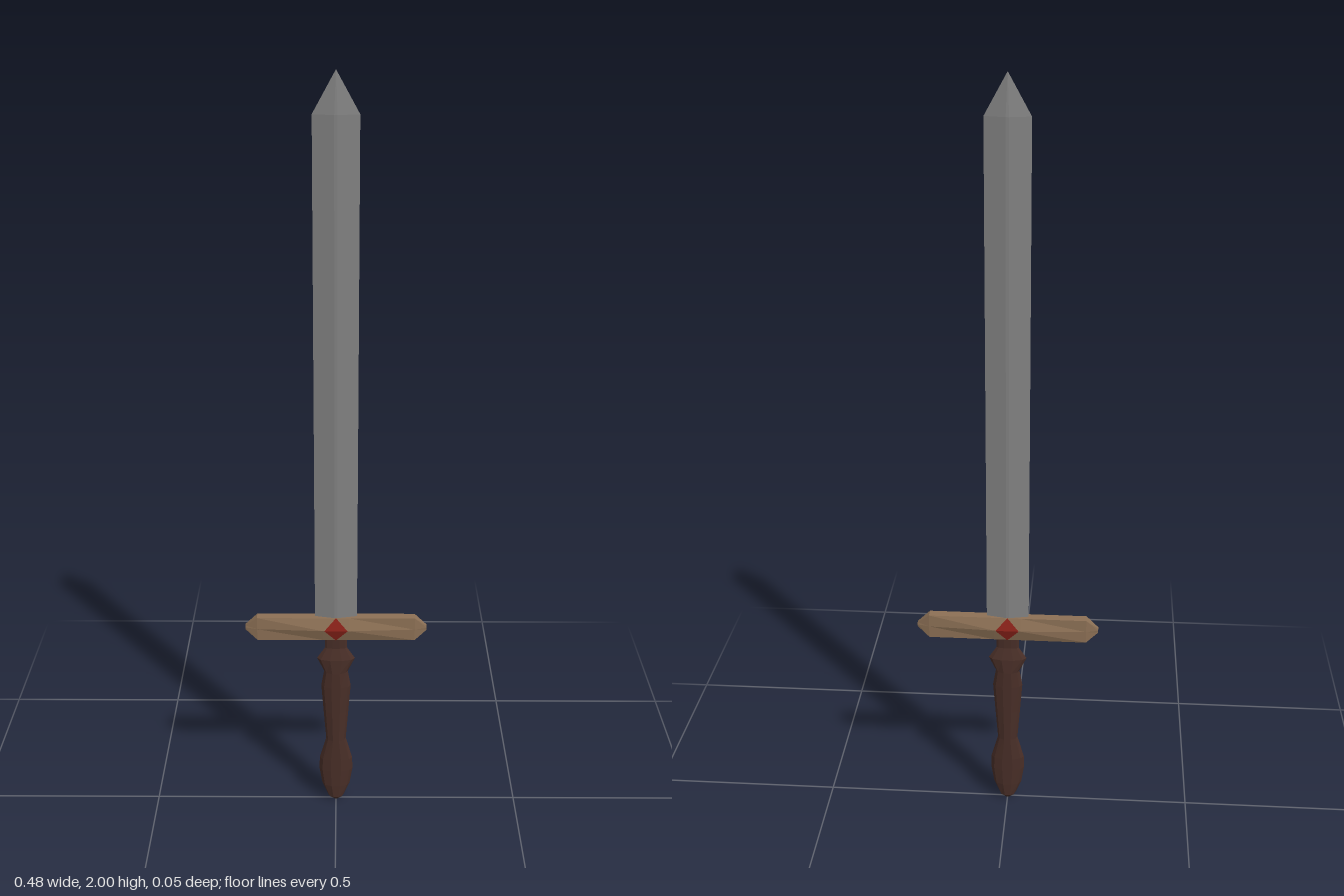
import * as THREE from 'three';

const material = (name, color, extra = {}) =>
  Object.assign(new THREE.MeshStandardMaterial({ color, flatShading: true, ...extra }), { name });

// Skins stacked rings [y, [[x, z], ...]] (anticlockwise seen from above) and caps both ends
function loft(rings) {
  const pos = [];
  const point = (r, i) => {
    const [y, pts] = rings[r];
    const [x, z] = pts[i % pts.length];
    return [x, y, z];
  };
  const n = rings[0][1].length, top = rings.length - 1;
  for (let r = 0; r < top; r++) {
    for (let i = 0; i < n; i++) {
      const a = point(r, i), b = point(r, i + 1), c = point(r + 1, i + 1), d = point(r + 1, i);
      pos.push(...a, ...b, ...c, ...a, ...c, ...d);
    }
  }
  for (let i = 1; i < n - 1; i++) {
    pos.push(...point(0, 0), ...point(0, i + 1), ...point(0, i));
    pos.push(...point(top, 0), ...point(top, i), ...point(top, i + 1));
  }
  const g = new THREE.BufferGeometry();
  g.setAttribute('position', new THREE.Float32BufferAttribute(pos, 3));
  g.computeVertexNormals();
  return g;
}

// Cross-sections
const bladeSection = (w, t, flat) => [[w, 0], [flat, -t], [-flat, -t], [-w, 0], [-flat, t], [flat, t]];
const guardSection = (h, mid, edge) => [[h, edge], [h, -edge], [0, -mid], [-h, -edge], [-h, edge], [0, mid]];
const gripSection = (w, t) => Array.from({ length: 10 }, (_, i) => {
  const a = (i / 10) * Math.PI * 2;
  return [w * Math.cos(a), -t * Math.sin(a)];
});

export function createModel() {
  const steel = material('steel', 0x828282);
  const wood = material('guardWood', 0x8c7055);
  const leather = material('darkGrip', 0x482e27);
  const red = material('redGem', 0x8a2219, { side: THREE.DoubleSide });
  const group = new THREE.Group();
  const guardY = 0.551;

  const add = (name, geometry, mat) => {
    const mesh = new THREE.Mesh(geometry, mat);
    mesh.name = name;
    group.add(mesh);
    return mesh;
  };

  // Blade: shallow ridged section closing to a point
  add('blade', loft([
    [0.56, bladeSection(0.056, 0.012, 0.004)],
    [1.9, bladeSection(0.056, 0.012, 0.004)],
    [2.0, bladeSection(0.0005, 0.0005, 0.0002)],
  ]), steel);

  // Crossguard: hexagonal bar, thickest in the middle, with tapered ends
  const guard = loft([
    [-0.242, guardSection(0.006, 0.005, 0.004)],
    [-0.21, guardSection(0.033, 0.014, 0.013)],
    [-0.035, guardSection(0.033, 0.024, 0.013)],
    [0.035, guardSection(0.033, 0.024, 0.013)],
    [0.21, guardSection(0.033, 0.014, 0.013)],
    [0.242, guardSection(0.006, 0.005, 0.004)],
  ]);
  guard.rotateZ(-Math.PI / 2);
  add('crossguard', guard, wood).position.y = guardY;

  // Diamond gems folded over the guard's front and back ridges
  const l = [-0.031, 0, 0.025], r = [0.031, 0, 0.025], t = [0, 0.034, 0.0138], b = [0, -0.034, 0.0138];
  const gem = new THREE.BufferGeometry();
  gem.setAttribute('position', new THREE.Float32BufferAttribute([...l, ...r, ...t, ...l, ...b, ...r], 3));
  gem.computeVertexNormals();
  for (const [name, turn] of [['frontGem', 0], ['backGem', Math.PI]]) {
    const mesh = add(name, gem, red);
    mesh.position.y = guardY;
    mesh.rotation.y = turn;
  }

  // Grip: carved handle, [height, half width, half depth]
  const profile = [
    [0, 0.008, 0.008], [0.012, 0.022, 0.018], [0.05, 0.038, 0.02], [0.1, 0.046, 0.02],
    [0.135, 0.045, 0.02], [0.2, 0.027, 0.02], [0.29, 0.034, 0.02], [0.37, 0.04, 0.02],
    [0.415, 0.032, 0.02], [0.455, 0.051, 0.018], [0.487, 0.03, 0.007], [0.53, 0.03, 0.008],
  ];
  add('grip', loft(profile.map(([y, w, d]) => [y, gripSection(w, d)])), leather);

  return group;
}
